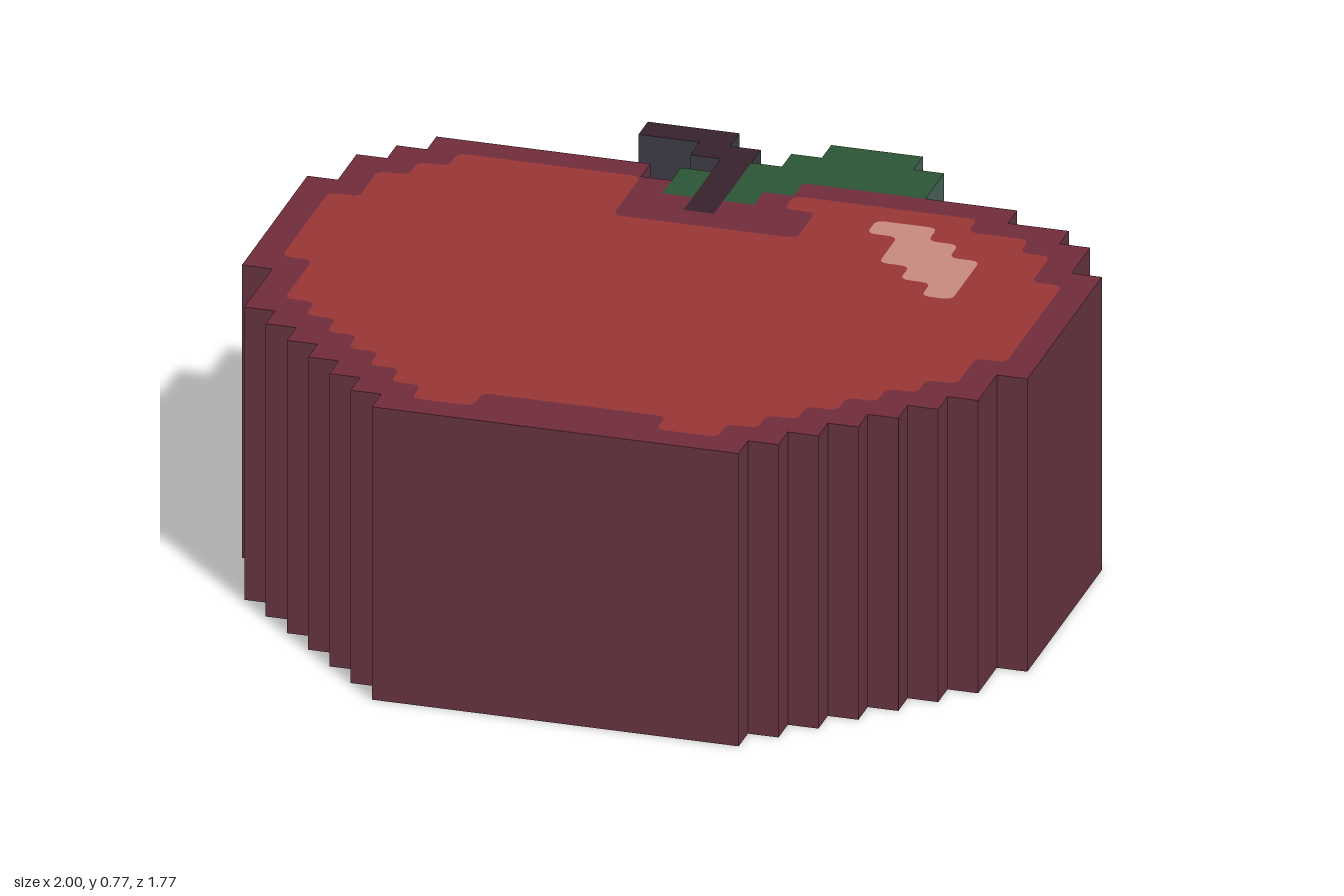
import * as THREE from 'three';

const CELL = 1 / 13;      // the drawing is 26 x 23 cells
const HEIGHT = 0.775;

// Stepped outlines: alternating x, z cell coordinates, each one turning a corner
const BODY = [3, 3, 10, 4, 11, 5, 12, 6, 13, 5, 14, 4, 15, 3, 22, 4, 24, 5, 25, 7, 26, 15, 25, 17, 24, 18,
  23, 19, 22, 20, 21, 21, 20, 22, 19, 23, 7, 22, 6, 21, 5, 20, 4, 19, 3, 18, 2, 17, 1, 14, 0, 7, 1, 5, 2, 4];
const FLESH = [4, 4, 10, 7, 16, 5, 15, 4, 21, 5, 23, 6, 24, 8, 25, 14, 24, 16, 23, 17, 22, 18, 21, 19, 20, 20,
  19, 21, 18, 22, 16, 21, 10, 22, 8, 21, 7, 20, 6, 19, 5, 18, 4, 17, 3, 16, 2, 13, 1, 8, 2, 6, 3, 5];
const SHINE = [18, 5, 20, 6, 21, 7, 22, 10, 21, 9, 20, 8, 19, 6];
const LEAF = [15, 0, 18, 1, 19, 3, 15, 4, 14, 5, 13, 2, 14, 1];
const LEAF_TIP = [11, 3, 12, 5];
const STEM = [9, 0, 12, 1, 13, 6, 12, 2, 11, 1];

// Corner points of a stepped outline, optionally with softened corners
function outline(steps, radius = 0) {
  const n = steps.length;
  const corners = steps.map((v, i) => {
    const w = steps[(i + 1) % n];
    const [x, z] = i % 2 === 0 ? [v, w] : [w, v];
    return new THREE.Vector2(x * CELL - 1, (11.5 - z) * CELL);
  });
  if (!radius) return corners;
  return corners.flatMap((p, i) => {
    const toward = (q) => p.clone().add(q.clone().sub(p).setLength(radius * CELL));
    const a = toward(corners[(i + n - 1) % n]);
    const b = toward(corners[(i + 1) % n]);
    return new THREE.QuadraticBezierCurve(a, p, b).getPoints(3);
  });
}

// Upright slab with separate cap and wall colours
function slab(name, points, hole, materials) {
  const shape = new THREE.Shape(points);
  if (hole) shape.holes.push(new THREE.Path(hole));
  const geometry = new THREE.ExtrudeGeometry(shape, { depth: HEIGHT, bevelEnabled: false });
  geometry.rotateX(-Math.PI / 2);
  const mesh = new THREE.Mesh(geometry, materials);
  mesh.name = name;
  return mesh;
}

function paint(name, color) {
  const material = new THREE.MeshStandardMaterial({ color });
  material.name = name;
  return material;
}

export function createModel() {
  const red = paint('fleshRed', 0x9a3735);
  const pink = paint('shinePink', 0xcb8b80);
  const skin = [paint('skinMaroon', 0x722c3c), paint('skinWall', 0x693643)];
  const leaf = [paint('leafGreen', 0x2d5737), paint('leafWall', 0x4a665c)];
  const stem = [paint('stemBrown', 0x37232e), paint('stemWall', 0x403e48)];

  const fleshEdge = outline(FLESH, 0.3);
  const shineEdge = outline(SHINE, 0.3);

  const model = new THREE.Group();
  model.name = 'apple';
  model.add(
    slab('skin', outline(BODY), fleshEdge, skin),
    slab('flesh', fleshEdge, shineEdge, [red, red]),
    slab('shine', shineEdge, null, [pink, pink]),
    slab('leaf', outline(LEAF), null, leaf),
    slab('leafTip', outline(LEAF_TIP), null, leaf),
    slab('stem', outline(STEM), null, stem),
  );
  return model;
}
